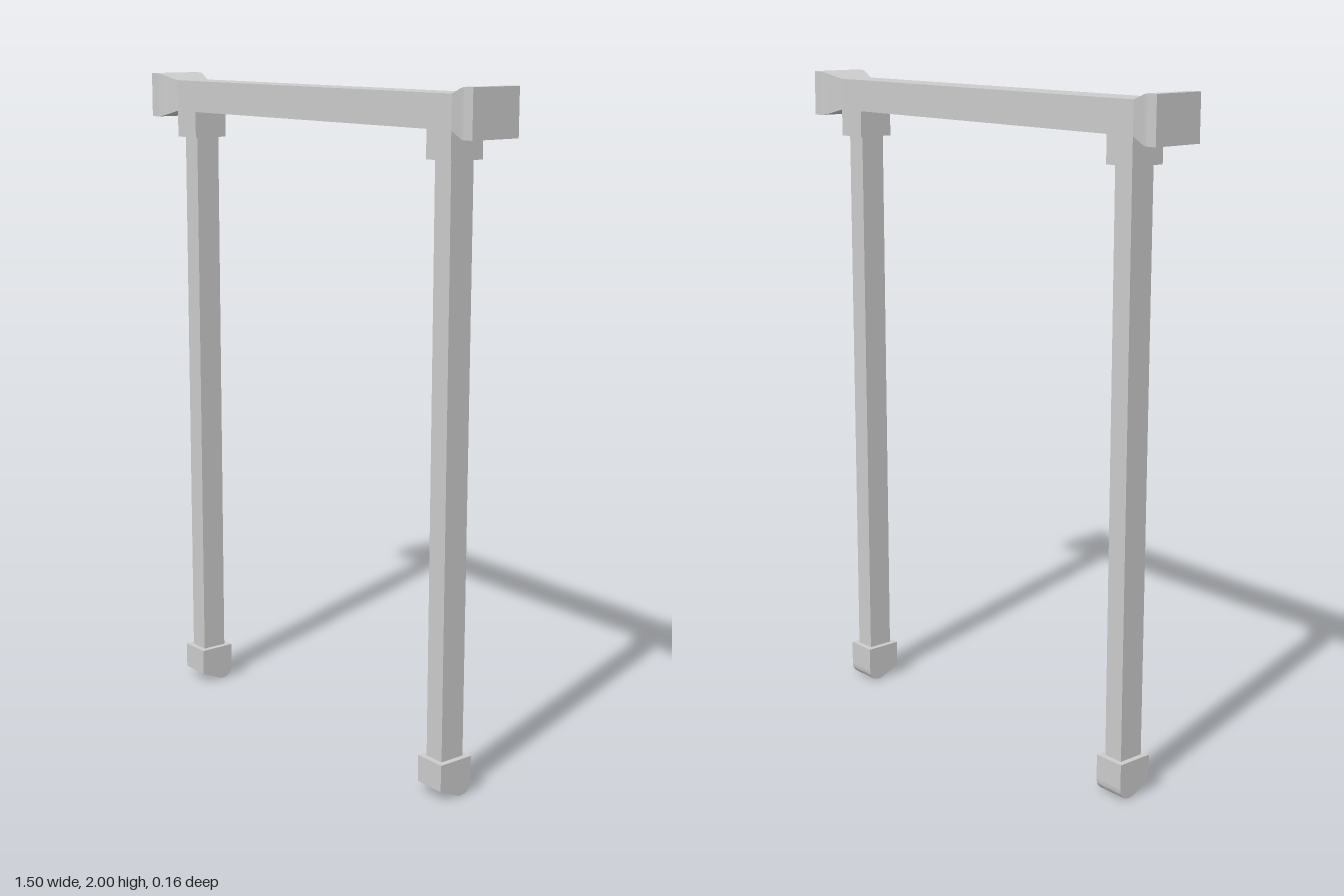
import * as THREE from 'three';

const material = new THREE.MeshStandardMaterial({ color: 0xcccccc, flatShading: true });

function addMesh(parent, geometry, name) {
  const mesh = new THREE.Mesh(geometry, material);
  mesh.name = name;
  parent.add(mesh);
  return mesh;
}

const POST_X = 0.593;   // post centre line
const SLEEVE = 0.049;   // half width of sleeve and foot
const DEPTH = 0.057;    // half depth of beam, sleeve and foot
const INNER = POST_X - SLEEVE;
const OUTER = POST_X + SLEEVE;

// Crossbeam with both post sleeves, one flush silhouette
function beamGeometry() {
  const shape = new THREE.Shape([
    [-OUTER, 1.805], [-INNER, 1.805], [-INNER, 1.885], [INNER, 1.885],
    [INNER, 1.805], [OUTER, 1.805], [OUTER, 1.98], [-OUTER, 1.98],
  ].map(([x, y]) => new THREE.Vector2(x, y)));
  return new THREE.ExtrudeGeometry(shape, { depth: 2 * DEPTH, bevelEnabled: false })
    .translate(0, 0, -DEPTH);
}

// Beam end that flares to a larger block: [x, bottom, top, half depth]
function flareGeometry() {
  const sections = [
    [OUTER, 1.885, 1.98, DEPTH],
    [0.7, 1.867, 1.997, 0.078],
    [0.715, 1.865, 2, 0.082],
    [0.75, 1.865, 2, 0.082],
  ];
  const geometry = new THREE.BoxGeometry(3, 1, 1, 3, 1, 1);
  const p = geometry.attributes.position;
  for (let i = 0; i < p.count; i++) {
    const [x, bottom, top, half] = sections[Math.round(p.getX(i) + 1.5)];
    p.setXYZ(i, x, p.getY(i) > 0 ? top : bottom, Math.sign(p.getZ(i)) * half);
  }
  geometry.computeVertexNormals();
  return geometry;
}

// Foot: sloped underside at the front, rounded heel at the back
function footGeometry() {
  const shape = new THREE.Shape();
  shape.moveTo(DEPTH, 0.112);
  shape.lineTo(-DEPTH, 0.112);
  shape.lineTo(-DEPTH, 0.035);
  shape.bezierCurveTo(-DEPTH, 0.01, -0.035, -0.004, -0.01, 0.002);
  shape.lineTo(DEPTH, 0.032);
  shape.closePath();
  return new THREE.ExtrudeGeometry(shape, { depth: 2 * SLEEVE, bevelEnabled: false, curveSegments: 6 })
    .translate(0, 0, -SLEEVE)
    .rotateY(-Math.PI / 2);
}

export function createModel() {
  const group = new THREE.Group();
  group.name = 'postFrame';
  addMesh(group, beamGeometry(), 'crossbeam');

  for (const [side, s] of [['left', 1], ['right', -1]]) {
    // The flare is symmetric in z, so a half turn mirrors it
    addMesh(group, flareGeometry(), side + 'BeamEnd').rotation.y = s > 0 ? 0 : Math.PI;
    addMesh(group, new THREE.BoxGeometry(0.064, 1.71, 0.08), side + 'Post')
      .position.set(s * POST_X, 0.955, 0);
    addMesh(group, footGeometry(), side + 'Foot').position.x = s * POST_X;
  }
  return group;
}
